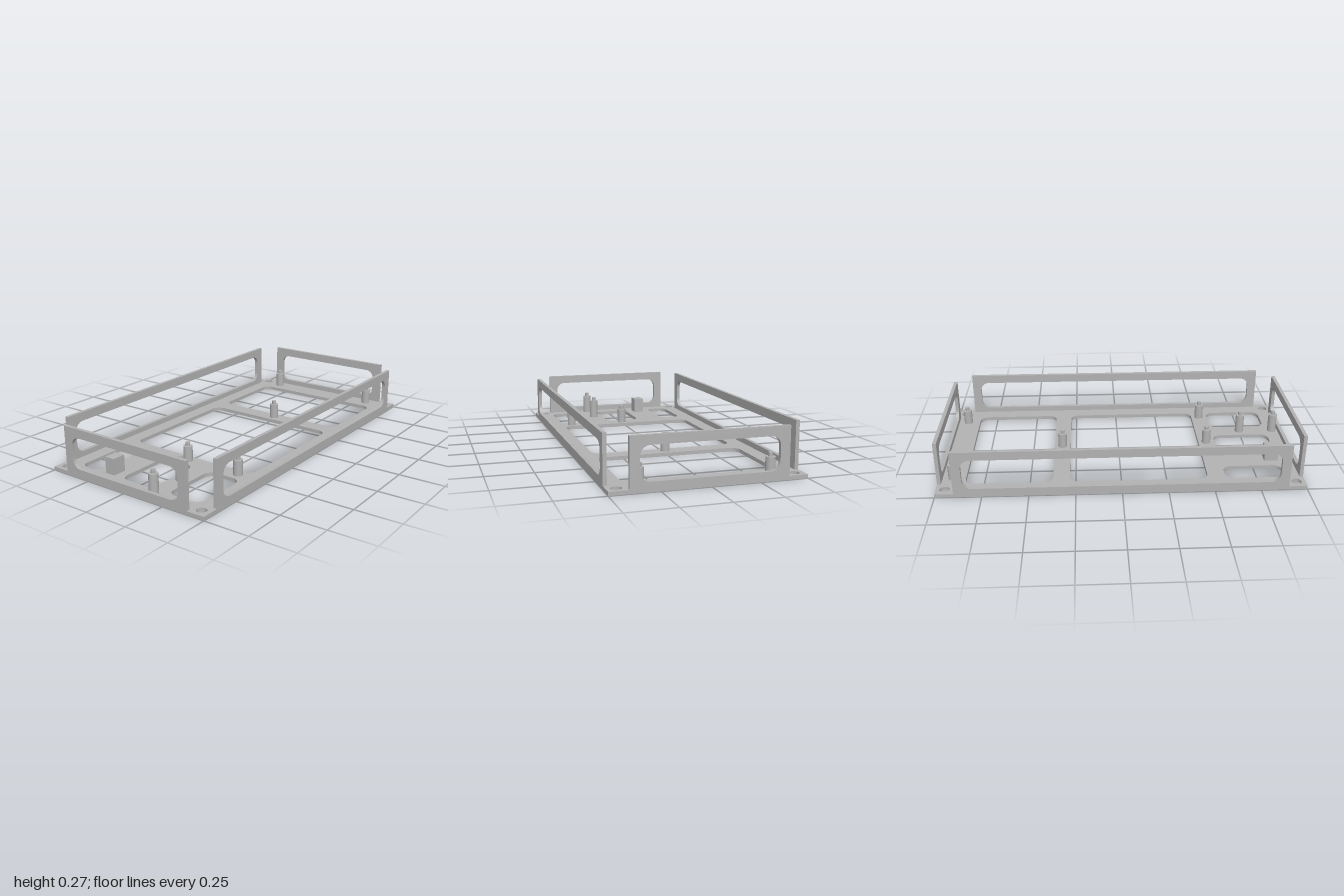
import * as THREE from 'three';
import { toCreasedNormals } from 'three/addons/utils/BufferGeometryUtils.js';

const T = 0.02; // sheet thickness
const HEIGHT = 0.27;

// Rounded rectangle path between two corners
function roundedRect(x0, y0, x1, y1, r) {
  const p = new THREE.Path();
  p.moveTo(x0 + r, y0);
  p.lineTo(x1 - r, y0);
  p.absarc(x1 - r, y0 + r, r, -Math.PI / 2, 0);
  p.lineTo(x1, y1 - r);
  p.absarc(x1 - r, y1 - r, r, 0, Math.PI / 2);
  p.lineTo(x0 + r, y1);
  p.absarc(x0 + r, y1 - r, r, Math.PI / 2, Math.PI);
  p.lineTo(x0, y0 + r);
  p.absarc(x0 + r, y0 + r, r, Math.PI, Math.PI * 1.5);
  return p;
}

// Rectangular sheet with holes, extruded along +z
function sheet(x0, y0, x1, y1, holes) {
  const s = new THREE.Shape();
  s.moveTo(x0, y0);
  s.lineTo(x1, y0);
  s.lineTo(x1, y1);
  s.lineTo(x0, y1);
  s.closePath();
  s.holes.push(...holes);
  const g = new THREE.ExtrudeGeometry(s, { depth: T, bevelEnabled: false, curveSegments: 12 });
  return toCreasedNormals(g, 0.6);
}

export function createModel() {
  const model = new THREE.Group();
  model.name = 'mountingTray';
  const grey = new THREE.MeshStandardMaterial({ color: 0xb2b2b2 });
  grey.name = 'grey';

  function add(name, geometry, x = 0, y = 0, z = 0, parent = model) {
    const m = new THREE.Mesh(geometry, grey);
    m.name = name;
    m.position.set(x, y, z);
    parent.add(m);
    return m;
  }

  // Base plate: cut-outs as x0, z0, x1, z1
  const holes = [
    [-0.905, -0.4, -0.573, -0.273],
    [-0.905, -0.11, -0.573, 0.097],
    [-0.905, 0.2, -0.573, 0.4],
    [-0.477, -0.4, 0.283, 0.4],
    [0.375, -0.4, 0.852, 0.4],
  ].map(([x0, z0, x1, z1]) => roundedRect(x0, -z1, x1, -z0, 0.05));
  // Corner screw holes
  for (const x of [-0.952, 0.952]) {
    for (const z of [-0.45, 0.45]) {
      holes.push(new THREE.Path().absarc(x, z, 0.027, 0, Math.PI * 2));
    }
  }
  add('basePlate', sheet(-1, -0.5, 1, 0.5, holes).rotateX(-Math.PI / 2));

  // Window-framed walls, one on each edge
  const wall = (half) => sheet(-half, T, half, HEIGHT,
    [roundedRect(-half + 0.05, 0.05, half - 0.05, 0.222, 0.05)]);
  const longWall = wall(0.9);
  const shortWall = wall(0.4).rotateY(Math.PI / 2);
  add('frontWall', longWall, 0, 0, 0.5 - T);
  add('backWall', longWall, 0, 0, -0.5);
  add('leftWall', shortWall, 1 - T, 0, 0);
  add('rightWall', shortWall, -1, 0, 0);

  // Standoffs with locating pins: x, z, shoulder height
  const standoffs = [
    [-0.945, 0.15, 0.13], [-0.745, 0.15, 0.13],
    [-0.523, 0.017, 0.105], [-0.523, 0.347, 0.105], [0.329, 0.005, 0.105],
    [0.923, -0.335, 0.105], [0.923, 0.334, 0.105],
  ];
  const pin = new THREE.CylinderGeometry(0.012, 0.012, 0.021, 24);
  for (const [x, z, top] of standoffs) {
    const post = new THREE.Group();
    post.name = 'standoff';
    post.position.set(x, 0, z);
    model.add(post);
    const h = top - T;
    add('standoffBody', new THREE.CylinderGeometry(0.025, 0.025, h, 32), 0, T + h / 2, 0, post);
    add('standoffPin', pin, 0, top + 0.0105, 0, post);
  }

  // Support block
  add('supportBlock', new THREE.BoxGeometry(0.077, 0.09, 0.06), -0.862, T + 0.045, -0.19);

  return model;
}
